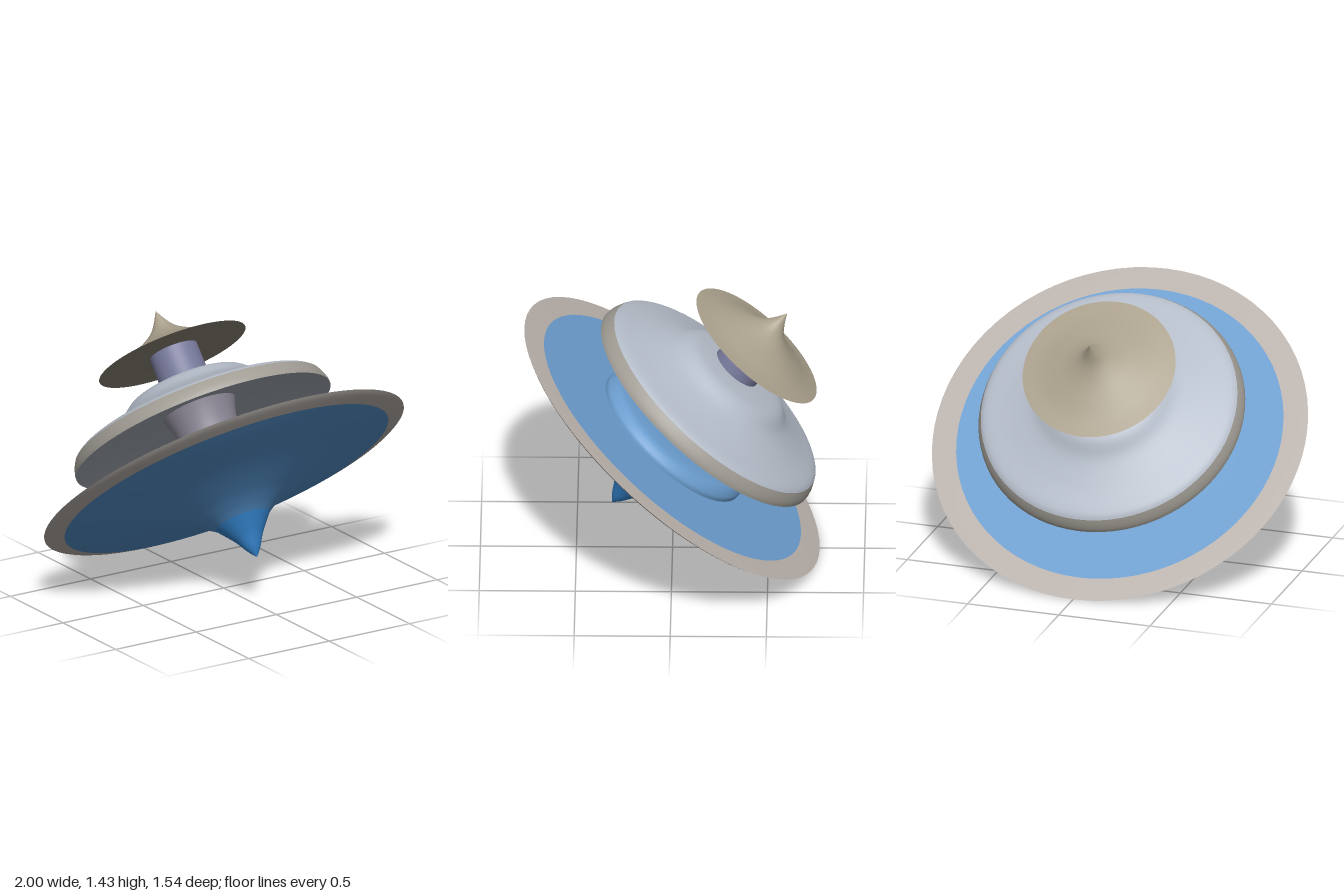
import * as THREE from 'three';

const TILT = -0.694;

const material = (color) =>
  new THREE.MeshStandardMaterial({ color, side: THREE.DoubleSide });

// Smooth surface of revolution through [radius, height] points
function turned(name, color, points, steps = 32) {
  const curve = new THREE.SplineCurve(points.map(([r, h]) => new THREE.Vector2(r, h)));
  const profile = curve.getPoints(steps);
  profile.forEach((p) => { p.x = Math.max(p.x, 0); });
  const mesh = new THREE.Mesh(new THREE.LatheGeometry(profile, 72), material(color));
  mesh.name = name;
  return mesh;
}

// Group of turned parts, nudged slightly off the main axis
function tier(name, x, z, ...parts) {
  const group = new THREE.Group();
  group.name = name;
  group.position.set(x, 0, z);
  group.add(...parts);
  return group;
}

export function createModel() {
  const model = new THREE.Group();
  model.name = 'spinningTop';

  const top = new THREE.Group();
  top.name = 'tiltedTop';
  top.rotation.x = TILT;
  top.position.set(0, 0.641, 0.003);
  model.add(top);

  // Wide base disc with a pointed foot and a raised hub
  const base = tier('baseDisc', 0, 0,
    turned('foot', 0x2f79bd, [[0, -0.49], [0.035, -0.445], [0.08, -0.37], [0.15, -0.28]]),
    turned('discUnderside', 0x4a80b4,
      [[0.15, -0.28], [0.2, -0.245], [0.3, -0.197], [0.51, -0.128], [0.77, -0.07], [0.9, -0.037]]),
    turned('rimUnderside', 0xa39d98, [[0.9, -0.037], [0.97, -0.016], [1, 0]], 6),
    turned('rimTop', 0xb8b0aa, [[1, 0], [0.95, 0.002], [0.87, 0.004]], 6),
    turned('discTop', 0x6a9ccd, [[0.87, 0.004], [0.65, 0.005], [0.455, 0.006]], 8),
    turned('hub', 0x6a9ccd,
      [[0.455, 0.006], [0.452, 0.035], [0.42, 0.072], [0.37, 0.085], [0.25, 0.092]]),
    turned('lowerNeck', 0x86818f,
      [[0.25, 0.092], [0.2, 0.122], [0.165, 0.18], [0.165, 0.24], [0.18, 0.31], [0.2, 0.37]]));

  // Hollow domed canopy
  const canopy = tier('canopy', -0.015, -0.02,
    turned('canopyUnderside', 0x9298a0, [[0.12, 0.37], [0.3, 0.355], [0.5, 0.32], [0.708, 0.248]]),
    turned('canopyRim', 0xa09c94, [[0.708, 0.248], [0.706, 0.27], [0.695, 0.3], [0.682, 0.325]], 8),
    turned('canopyTop', 0xb4bcc8,
      [[0.682, 0.325], [0.645, 0.348], [0.52, 0.387], [0.39, 0.44], [0.3, 0.505],
        [0.2, 0.523], [0.1, 0.528], [0, 0.53]], 40));

  // Short upper neck
  const neck = tier('upperNeck', -0.02, 0,
    turned('neckWall', 0x76789a, [[0.134, 0.5], [0.131, 0.6], [0.13, 0.71]], 6));

  // Pointed hat with a shallow concave slope
  const hat = tier('hat', -0.033, 0,
    turned('hatUnderside', 0x7d7669, [[0, 0.705], [0.2, 0.7], [0.407, 0.687]], 8),
    turned('hatTop', 0xaaa08c,
      [[0.407, 0.687], [0.32, 0.706], [0.23, 0.738], [0.14, 0.778], [0.07, 0.826],
        [0.03, 0.88], [0, 0.937]]));

  top.add(base, canopy, neck, hat);
  return model;
}
